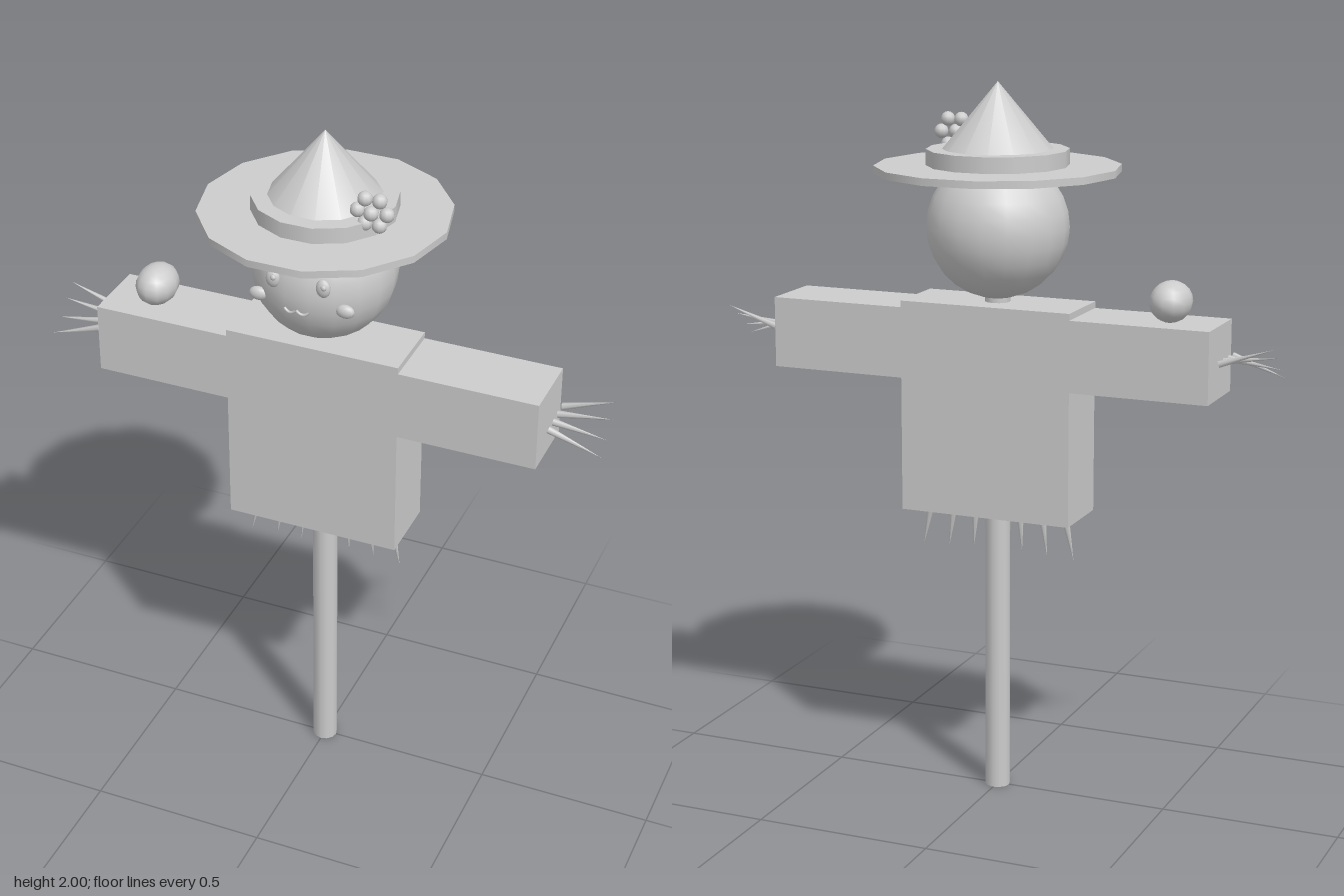
import * as THREE from 'three';

export function createModel() {
  const model = new THREE.Group();
  model.name = 'scarecrow';
  const grey = new THREE.MeshStandardMaterial({ color: 0xcccccc });
  grey.name = 'light grey';

  function add(name, geometry, x, y, z, parent = model) {
    const mesh = new THREE.Mesh(geometry, grey);
    mesh.name = name;
    mesh.position.set(x, y, z);
    parent.add(mesh);
    return mesh;
  }
  function group(name) {
    const g = new THREE.Group();
    g.name = name;
    model.add(g);
    return g;
  }
  // Ellipsoid with the given half sizes
  function ball(name, rx, ry, rz, x, y, z, parent, w = 12, h = 8) {
    const mesh = add(name, new THREE.SphereGeometry(1, w, h), x, y, z, parent);
    mesh.scale.set(rx, ry, rz);
    return mesh;
  }
  // Straw cone running from its base point to its tip
  function straw(name, base, tip, radius, parent) {
    const a = new THREE.Vector3(...base), b = new THREE.Vector3(...tip);
    const dir = b.clone().sub(a);
    const mid = a.clone().add(b).multiplyScalar(0.5);
    const mesh = add(name, new THREE.ConeGeometry(radius, dir.length(), 6), mid.x, mid.y, mid.z, parent);
    mesh.quaternion.setFromUnitVectors(new THREE.Vector3(0, 1, 0), dir.normalize());
  }

  // Pole, shirt and sleeves
  add('pole', new THREE.CylinderGeometry(0.035, 0.035, 1.43, 12), 0, 0.715, 0);
  add('torso', new THREE.BoxGeometry(0.494, 0.59, 0.196), 0, 1.11, 0);
  for (const s of [-1, 1]) {
    add(s > 0 ? 'leftSleeve' : 'rightSleeve', new THREE.BoxGeometry(0.388, 0.197, 0.196), s * 0.441, 1.288, 0);
  }

  // Straw hands: four cones fanned up and down
  const hands = group('strawHands');
  const tipHeights = [1.345, 1.315, 1.275, 1.245];
  for (const s of [-1, 1]) {
    tipHeights.forEach((y, i) => {
      const z = -0.06 + i * 0.04;
      straw('handStraw', [s * 0.652, 1.295, z], [s * 0.8, y, z], 0.01, hands);
    });
  }

  // Straw fringe under the shirt
  const fringe = group('strawFringe');
  for (const s of [-1, 1]) {
    [[0.2, 0.227], [0.132, 0.148], [0.066, 0.073]].forEach(([x0, x1], i) => {
      straw('fringeStraw', [s * x0, 0.82, 0], [s * x1, 0.69 + i * 0.005, 0], 0.012, fringe);
    });
  }

  // Head and face
  ball('head', 0.195, 0.195, 0.195, 0, 1.61, 0, model, 18, 14);
  const face = group('face');
  for (const s of [-1, 1]) {
    ball('eye', 0.02, 0.026, 0.014, s * 0.07, 1.648, 0.179, face);
    ball('eyeGlint', 0.008, 0.008, 0.006, s * 0.07 + 0.006, 1.657, 0.192, face, 8, 6);
    ball('cheek', 0.026, 0.019, 0.015, s * 0.122, 1.58, 0.157, face);
    // Half of the curved mouth
    const arc = new THREE.QuadraticBezierCurve3(
      new THREE.Vector3(0, 1.575, 0.193),
      new THREE.Vector3(s * 0.018, 1.554, 0.192),
      new THREE.Vector3(s * 0.035, 1.574, 0.188));
    add('mouth', new THREE.TubeGeometry(arc, 8, 0.004, 6), 0, 0, 0, face);
  }

  // Pointed hat with flat brim and band, all with fourteen sides
  const hat = group('hat');
  const ring = (r, h) => new THREE.CylinderGeometry(r, r, h, 14);
  add('hatBrim', ring(0.335, 0.02), 0, 1.767, 0, hat);
  add('hatBand', ring(0.194, 0.045), 0, 1.798, 0, hat);
  add('hatCone', new THREE.ConeGeometry(0.186, 0.223, 14), 0, 1.8885, 0, hat);
  hat.rotation.y = Math.PI / 2;

  // Flower on the hat: a centre with six petals
  const flower = group('flower');
  ball('flowerCentre', 0.02, 0.02, 0.02, 0.169, 1.848, 0.105, flower, 10, 8);
  for (let i = 0; i < 6; i++) {
    const a = i * Math.PI / 3;
    ball('petal', 0.02, 0.02, 0.02, 0.169 + 0.04 * Math.cos(a), 1.848 + 0.04 * Math.sin(a), 0.097, flower, 10, 8);
  }

  // Little bird body perched on the right sleeve
  ball('perchedBird', 0.057, 0.056, 0.073, -0.497, 1.44, 0, model, 12, 10);

  return model;
}
